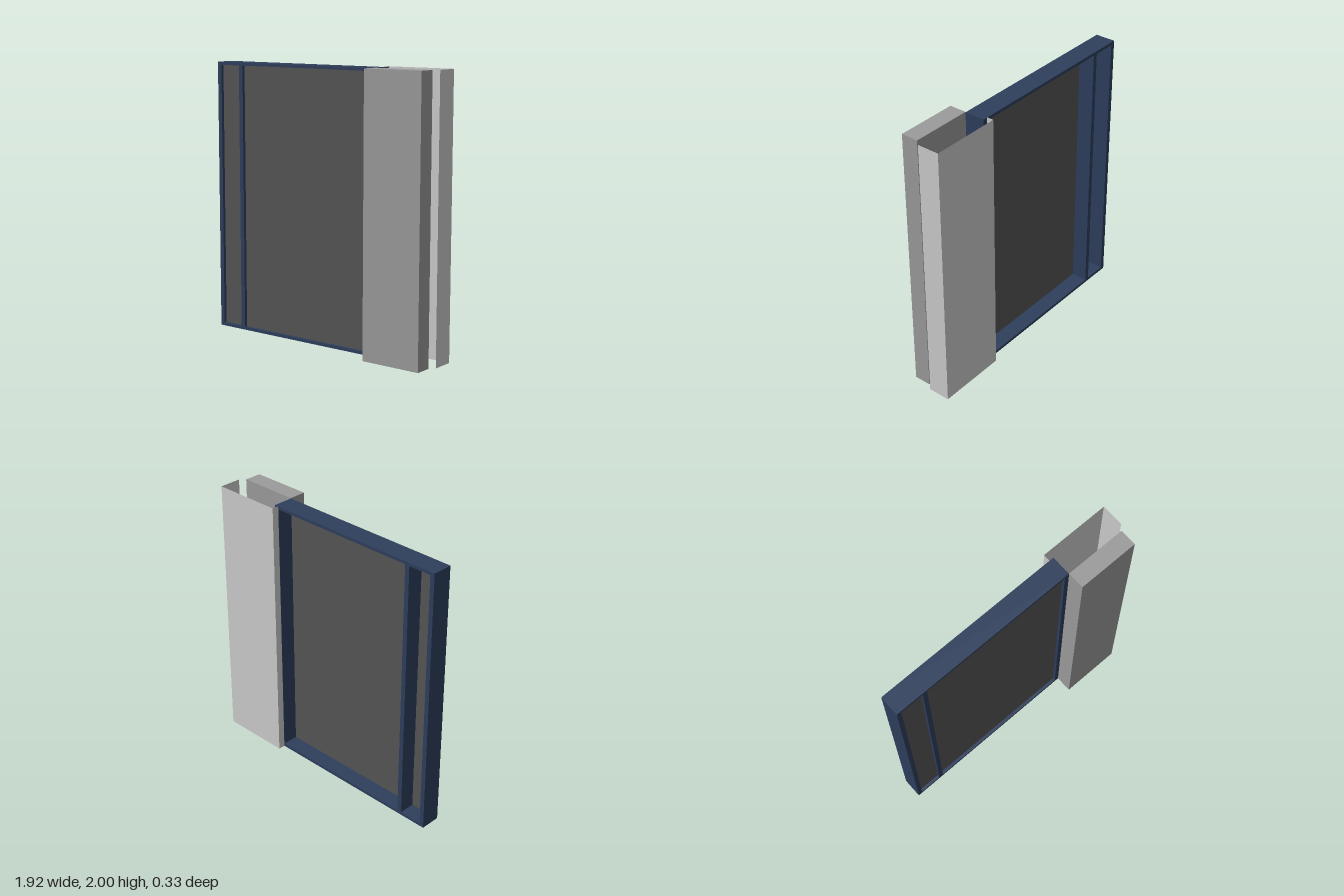
import * as THREE from 'three';

const navy = new THREE.MeshStandardMaterial({ color: 0x2e3e5c });
const dark = new THREE.MeshStandardMaterial({ color: 0x555555 });
const midGrey = new THREE.MeshStandardMaterial({ color: 0x9b9b9b });
const sheet = new THREE.MeshStandardMaterial({ color: 0xcccccc, side: THREE.DoubleSide });

// Box given by its lower and upper corners
function block(name, material, [x0, y0, z0], [x1, y1, z1]) {
  const mesh = new THREE.Mesh(new THREE.BoxGeometry(x1 - x0, y1 - y0, z1 - z0), material);
  mesh.name = name;
  mesh.position.set((x0 + x1) / 2, (y0 + y1) / 2, (z0 + z1) / 2);
  return mesh;
}

export function createModel() {
  const group = new THREE.Group();
  group.name = 'slidingWindow';
  const top = 2, rail = 0.022, back = -0.113, front = 0.038;

  // Navy frame: one outline with two openings, extruded through its depth
  const rect = (Type, x0, y0, x1, y1) => new Type([[x0, y0], [x1, y0], [x1, y1], [x0, y1]]
    .map(([x, y]) => new THREE.Vector2(x, y)));
  const openings = [[-0.928, -0.755], [-0.72, 0.435]];
  const outline = rect(THREE.Shape, -0.962, 0, 0.47, top - 0.003);
  for (const [x0, x1] of openings) outline.holes.push(rect(THREE.Path, x0, rail, x1, top - rail - 0.003));
  const frameGeometry = new THREE.ExtrudeGeometry(outline, { depth: front - back, bevelEnabled: false });
  frameGeometry.translate(0, 0, back);
  const frame = new THREE.Mesh(frameGeometry, navy);
  frame.name = 'frame';
  group.add(frame);

  // Dark panes set near the front of the frame
  openings.forEach(([x0, x1], i) => group.add(block(i ? 'mainPane' : 'sidePane', dark,
    [x0, rail, 0.008], [x1, top - rail - 0.003, 0.016])));

  // Solid post in front of the frame's plane
  group.add(block('frontPost', midGrey, [0.47, 0, front], [0.928, top, 0.165]));

  // Open channel of thin sheet: short return, wide back, side wall
  const path = [[0.437, back], [0.437, -0.165], [0.962, -0.165], [0.962, 0]];
  const channel = new THREE.Group();
  channel.name = 'backChannel';
  ['channelReturn', 'channelBack', 'channelSide'].forEach((name, i) => {
    const [[ax, az], [bx, bz]] = [path[i], path[i + 1]];
    const wall = new THREE.Mesh(new THREE.PlaneGeometry(Math.hypot(bx - ax, bz - az), top), sheet);
    wall.name = name;
    wall.position.set((ax + bx) / 2, top / 2, (az + bz) / 2);
    wall.rotation.y = Math.atan2(bz - az, ax - bx); // faces outward
    channel.add(wall);
  });
  group.add(channel);
  return group;
}
